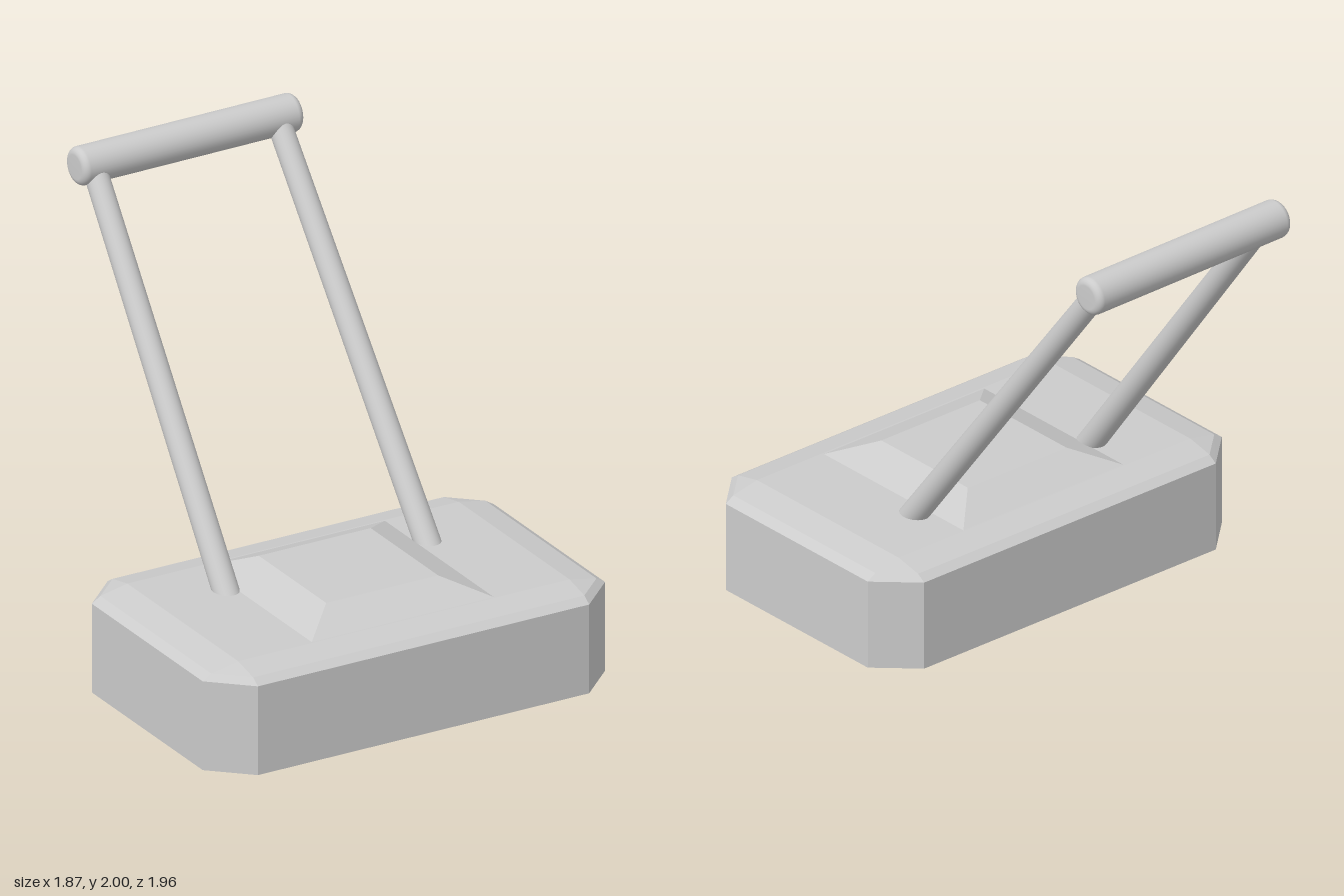
import * as THREE from 'three';

const flat = new THREE.MeshStandardMaterial({ color: 0xcccccc, flatShading: true });
const smooth = new THREE.MeshStandardMaterial({ color: 0xcccccc });

// Octagonal ring: a long side reaches hx / hz, its straight runs end at cx / cz
const ring = (y, hx, hz, cx, cz) => [
  [cx, y, hz], [hx, y, cz], [hx, y, -cz], [cx, y, -hz],
  [-cx, y, -hz], [-hx, y, -cz], [-hx, y, cz], [-cx, y, hz],
];
const rect = (y, hx, hz) => [[hx, y, hz], [hx, y, -hz], [-hx, y, -hz], [-hx, y, hz]];

// Joins rings from bottom to top and closes both ends
function loft(rings) {
  const n = rings[0].length, index = [];
  for (let r = 0; r < rings.length - 1; r++) {
    for (let i = 0; i < n; i++) {
      const a = r * n + i, b = r * n + (i + 1) % n;
      index.push(a, b, b + n, a, b + n, a + n);
    }
  }
  const top = (rings.length - 1) * n;
  for (let i = 1; i < n - 1; i++) {
    index.push(0, i + 1, i, top, top + i, top + i + 1);
  }
  const g = new THREE.BufferGeometry();
  g.setAttribute('position', new THREE.Float32BufferAttribute(rings.flat(2), 3));
  g.setIndex(index);
  const out = g.toNonIndexed();
  out.computeVertexNormals();
  return out;
}

// Points a y-aligned mesh from a to b
function aim(mesh, a, b) {
  mesh.position.copy(a).add(b).multiplyScalar(0.5);
  mesh.quaternion.setFromUnitVectors(new THREE.Vector3(0, 1, 0), b.clone().sub(a).normalize());
  return mesh;
}

export function createModel() {
  const group = new THREE.Group();
  const add = (name, mesh) => { mesh.name = name; group.add(mesh); return mesh; };
  const cz = 0.387; // centre of the base in z

  // Chamfered base block
  const base = add('base', new THREE.Mesh(loft([
    ring(0, 0.77, 0.434, 0.77, 0.434),
    ring(0.04, 0.935, 0.588, 0.77, 0.434),
    ring(0.43, 0.935, 0.588, 0.77, 0.434),
    ring(0.455, 0.895, 0.55, 0.77, 0.434),
    ring(0.48, 0.77, 0.434, 0.77, 0.434),
  ]), flat));
  base.position.z = cz;

  // Raised panel on the top
  const panel = add('raisedPanel', new THREE.Mesh(
    loft([rect(0.475, 0.435, 0.438), rect(0.55, 0.26, 0.264)]), flat));
  panel.position.z = cz;

  // Leaning poles
  for (const [name, x0, x1] of [['leftPole', 0.476, 0.424], ['rightPole', -0.462, -0.434]]) {
    const a = new THREE.Vector3(x0, 0.44, 0.23), b = new THREE.Vector3(x1, 1.9, -0.868);
    const g = new THREE.CylinderGeometry(0.05, 0.055, a.distanceTo(b), 32);
    add(name, aim(new THREE.Mesh(g, smooth), a, b));
  }

  // Grip bar with rounded ends
  const half = 0.517, r = 0.081, e = 0.03, profile = [];
  for (const s of [-1, 1]) {
    profile.push(...[0, 1, 2, 3, 4, 5].map((i) => {
      const t = (s < 0 ? i : 5 - i) / 5 * Math.PI / 2;
      return new THREE.Vector2(r - e + e * Math.sin(t), s * (half - e + e * Math.cos(t)));
    }));
  }
  profile.unshift(new THREE.Vector2(0, -half));
  profile.push(new THREE.Vector2(0, half));
  add('gripBar', aim(new THREE.Mesh(new THREE.LatheGeometry(profile, 32), smooth),
    new THREE.Vector3(-half, 1.919, -0.889), new THREE.Vector3(half + 0.005, 1.919, -0.901)));

  return group;
}
